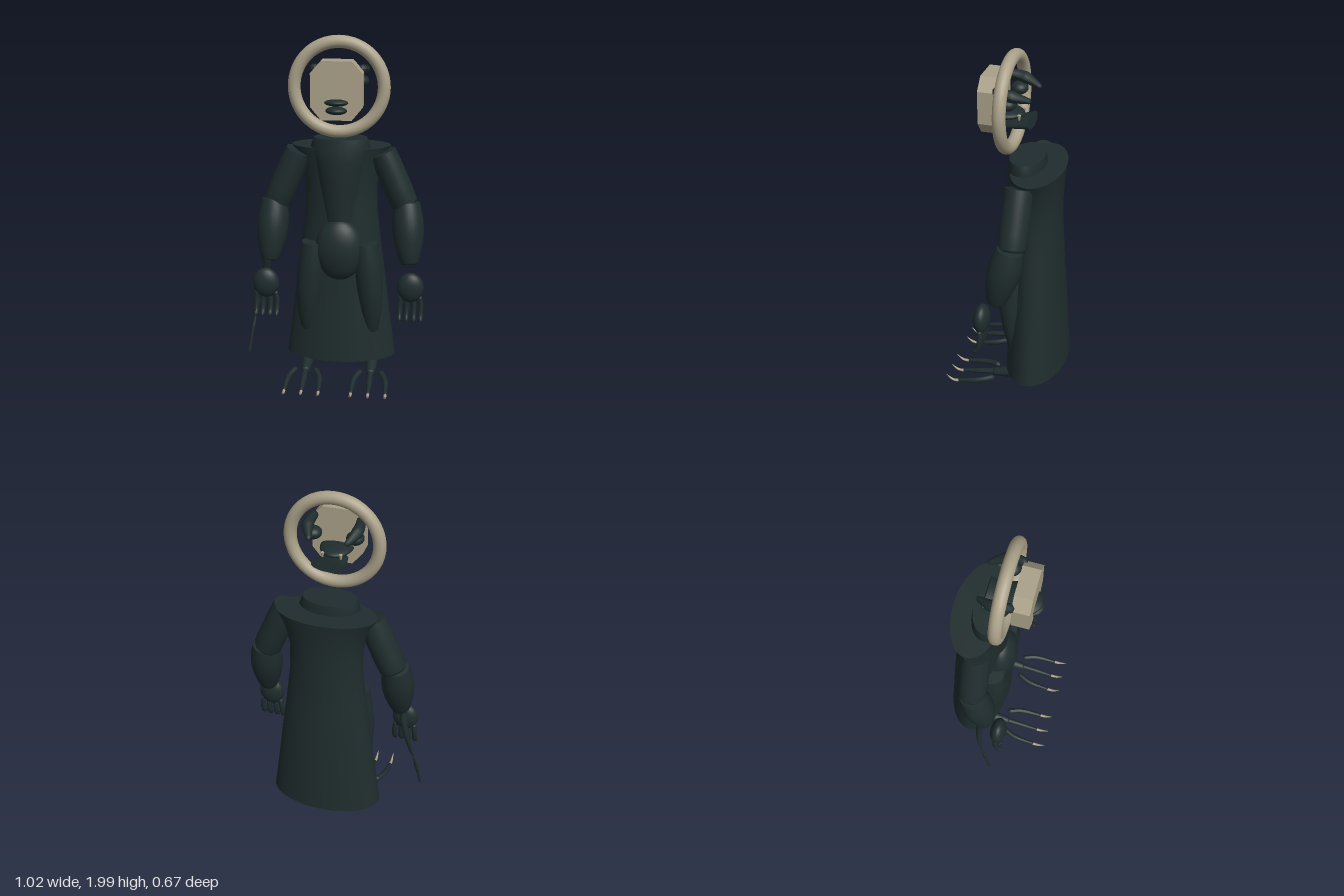
import * as THREE from 'three';

export function createModel() {
  const dark = new THREE.MeshStandardMaterial({ color: 0x1f2c2d });
  dark.name = 'dark cloth';
  const bone = new THREE.MeshStandardMaterial({ color: 0xaaa189 });
  bone.name = 'bone';

  const root = new THREE.Group();
  root.name = 'robedFigure';
  const figure = new THREE.Group();
  figure.name = 'figure';
  figure.position.x = 0.02;
  root.add(figure);

  const V = (p) => new THREE.Vector3(...p);
  function add(name, geo, mat = dark) {
    const m = new THREE.Mesh(geo, mat);
    m.name = name;
    figure.add(m);
    return m;
  }
  function ellipsoid(name, c, r, mat = dark) {
    const m = add(name, new THREE.SphereGeometry(1, 28, 18), mat);
    m.position.set(...c);
    m.scale.set(...r);
    return m;
  }

  // Stack of horizontal ellipses [y, centre z, rx, rz], capped at both ends
  function stack(name, rows, mat = dark, cx = 0) {
    const n = 48, pos = [], idx = [];
    rows.forEach(([y, z, rx, rz, dx = 0]) => {
      for (let i = 0; i <= n; i++) {
        const a = (i / n) * Math.PI * 2;
        pos.push(cx + dx + Math.sin(a) * rx, y, z + Math.cos(a) * rz);
      }
    });
    for (let j = 0; j < rows.length - 1; j++) {
      for (let i = 0; i < n; i++) {
        const a = j * (n + 1) + i, b = a + n + 1;
        idx.push(a, a + 1, b, a + 1, b + 1, b);
      }
    }
    // Separate cap vertices keep the rims sharp
    [0, rows.length - 1].forEach((j) => {
      const start = pos.length / 3, [y, z, , , dx = 0] = rows[j];
      pos.push(cx + dx, y, z);
      for (let i = 0; i <= n; i++) {
        const k = (j * (n + 1) + i) * 3;
        pos.push(pos[k], pos[k + 1], pos[k + 2]);
      }
      for (let i = 1; i <= n; i++) {
        if (j) idx.push(start, start + i, start + i + 1);
        else idx.push(start, start + i + 1, start + i);
      }
    });
    const g = new THREE.BufferGeometry();
    g.setAttribute('position', new THREE.Float32BufferAttribute(pos, 3));
    g.setIndex(idx);
    g.computeVertexNormals();
    return add(name, g, mat);
  }

  // Turned limb from a to b; profile is [fraction, radius]
  function limb(name, a, b, profile, depth = 1) {
    const A = V(a), d = V(b).sub(A), L = d.length();
    const pts = profile.map(([t, r]) => new THREE.Vector2(r, t * L));
    const m = add(name, new THREE.LatheGeometry(pts, 28));
    m.position.copy(A);
    m.quaternion.setFromUnitVectors(new THREE.Vector3(0, 1, 0), d.normalize());
    m.scale.z = depth;
    return m;
  }

  // Tube along points whose radius follows a list, closed at both ends
  function taper(name, points, radii, mat = dark) {
    const curve = new THREE.CatmullRomCurve3(points.map(V)), n = 20, sides = 10;
    const g = new THREE.TubeGeometry(curve, n, 1, sides, false);
    const p = g.attributes.position, v = new THREE.Vector3();
    for (let i = 0; i <= n; i++) {
      const c = curve.getPointAt(i / n), f = (i / n) * (radii.length - 1);
      const k = Math.min(Math.floor(f), radii.length - 2);
      const r = i === 0 || i === n ? 0.0003 : THREE.MathUtils.lerp(radii[k], radii[k + 1], f - k);
      for (let s = 0; s <= sides; s++) {
        const q = i * (sides + 1) + s;
        v.fromBufferAttribute(p, q).sub(c).setLength(r).add(c);
        p.setXYZ(q, v.x, v.y, v.z);
      }
    }
    g.computeVertexNormals();
    return add(name, g, mat);
  }

  // Long flared robe, inner torso with collar, belly
  stack('robe', [
    [0.10, -0.155, 0.322, 0.177], [0.3, -0.155, 0.295, 0.165], [0.55, -0.155, 0.263, 0.15],
    [0.8, -0.15, 0.23, 0.138], [1.0, -0.148, 0.207, 0.13], [1.15, -0.145, 0.205, 0.13],
    [1.27, -0.145, 0.23, 0.135], [1.34, -0.145, 0.265, 0.142], [1.37, -0.145, 0.28, 0.145],
  ]);
  stack('torso', [
    [0.85, -0.06, 0.07, 0.06], [1.0, -0.075, 0.095, 0.08], [1.15, -0.078, 0.12, 0.098],
    [1.29, -0.08, 0.145, 0.11], [1.365, -0.08, 0.17, 0.103], [1.425, -0.08, 0.15, 0.095],
  ]);
  ellipsoid('belly', [0, 0.78, -0.025], [0.138, 0.182, 0.09]);

  for (const s of [-1, 1]) {
    const side = s > 0 ? 'left' : 'right';

    // Thigh panels
    stack(side + 'Thigh', [
      [0.26, -0.05, 0.018, 0.012, s * 0.185], [0.29, -0.05, 0.04, 0.03, s * 0.187],
      [0.4, -0.045, 0.06, 0.055, s * 0.185], [0.55, -0.04, 0.077, 0.075, s * 0.175],
      [0.7, -0.04, 0.077, 0.08, s * 0.16], [0.82, -0.045, 0.068, 0.072, s * 0.15],
    ]);

    // Arms
    limb(side + 'UpperArm', [s * 0.236, 1.34, -0.098], [s * 0.37, 1.03, -0.095],
      [[0, 0], [0, 0.073], [0.01, 0.075], [0.3, 0.079], [0.7, 0.08], [0.94, 0.077], [0.98, 0.07], [1, 0]]);
    limb(side + 'Forearm', [s * 0.378, 1.055, -0.092], [s * 0.4, 0.71, -0.015],
      [[0, 0], [0, 0.068], [0.03, 0.074], [0.25, 0.088], [0.45, 0.091], [0.65, 0.083], [0.85, 0.066], [0.97, 0.053], [1, 0.045], [1, 0]]);

    // Hand with curled fingers
    ellipsoid(side + 'Palm', [s * 0.412, 0.597, 0.062], [0.075, 0.087, 0.045]);
    for (const o of [-0.06, -0.021, 0.021, 0.06]) {
      taper(side + 'Finger', [
        [s * 0.412 + o * 0.85, 0.55, 0.06], [s * 0.412 + o, 0.49, 0.058],
        [s * 0.412 + o, 0.43, 0.07], [s * 0.412 + o, 0.403, 0.097],
      ], [0.014, 0.016, 0.015, 0.012]);
    }

    // Foot with three clawed toes
    taper(side + 'Foot', [[s * 0.19, 0.1, -0.11], [s * 0.19, 0.075, -0.03], [s * 0.19, 0.052, 0.075]],
      [0.034, 0.032, 0.022]);
    for (const o of [-1, 0, 1]) {
      const x = s * 0.19 + o * 0.098;
      taper(side + 'Toe', [
        [s * 0.19 + o * 0.055, 0.06, 0.045], [s * 0.19 + o * 0.088, 0.045, 0.125], [x, 0.018, 0.265],
      ], [0.017, 0.016, 0.009]);
      taper(side + 'Claw', [[x, 0.018, 0.25], [x, 0.018, 0.29], [x, 0.047, 0.333]],
        [0.009, 0.007, 0.001], bone);
    }

    // Eye and swept-back brow behind the mask
    ellipsoid(side + 'Eye', [s * 0.115, 1.755, 0], [0.048, 0.035, 0.048]);
    taper(side + 'Brow', [[s * 0.125, 1.83, 0.075], [s * 0.135, 1.81, -0.02], [s * 0.098, 1.775, -0.125]],
      [0.022, 0.033, 0.012]);

    // Fangs at the back of the mouth
    const fang = add(side + 'Fang', new THREE.ConeGeometry(0.01, 0.05, 10), bone);
    fang.position.set(s * 0.05, 1.645, -0.045);
    fang.rotation.x = Math.PI;
  }

  // Whip hanging from the right wrist, pinched in the middle
  taper('whipUpper', [[-0.415, 0.74, -0.02], [-0.43, 0.62, -0.045], [-0.468, 0.46, -0.04], [-0.492, 0.36, -0.02]],
    [0.022, 0.02, 0.014, 0.003]);
  taper('whipLower', [[-0.488, 0.38, -0.024], [-0.508, 0.27, 0.005], [-0.529, 0.13, 0.034]],
    [0.003, 0.011, 0.008, 0.009]);

  // Upright halo ring
  add('halo', new THREE.TorusGeometry(0.245, 0.035, 20, 64), bone).position.set(0, 1.72, 0.007);

  // Eight-sided mask
  const outline = [[-0.14, 1.635], [-0.082, 1.565], [0.082, 1.565], [0.14, 1.635],
    [0.14, 1.815], [0.082, 1.88], [-0.082, 1.88], [-0.14, 1.815]];
  const maskShape = new THREE.Shape(outline.map(([x, y]) => new THREE.Vector2(x, y)));
  add('mask', new THREE.ExtrudeGeometry(maskShape, { depth: 0.095, bevelEnabled: false }), bone)
    .position.z = 0.06;

  // Muzzle through the mask, lower lip and tapered jaw behind
  ellipsoid('upperMuzzle', [0, 1.66, 0.065], [0.092, 0.028, 0.127]);
  ellipsoid('lowerLip', [0, 1.618, 0.135], [0.062, 0.024, 0.065]);
  const jaw = add('jaw', new THREE.CylinderGeometry(0.06, 0.095, 0.17, 28));
  jaw.position.set(0, 1.612, -0.022);
  jaw.rotation.set(Math.PI / 2 + 0.2, 0, 0);
  jaw.scale.z = 0.36;
  return root;
}
